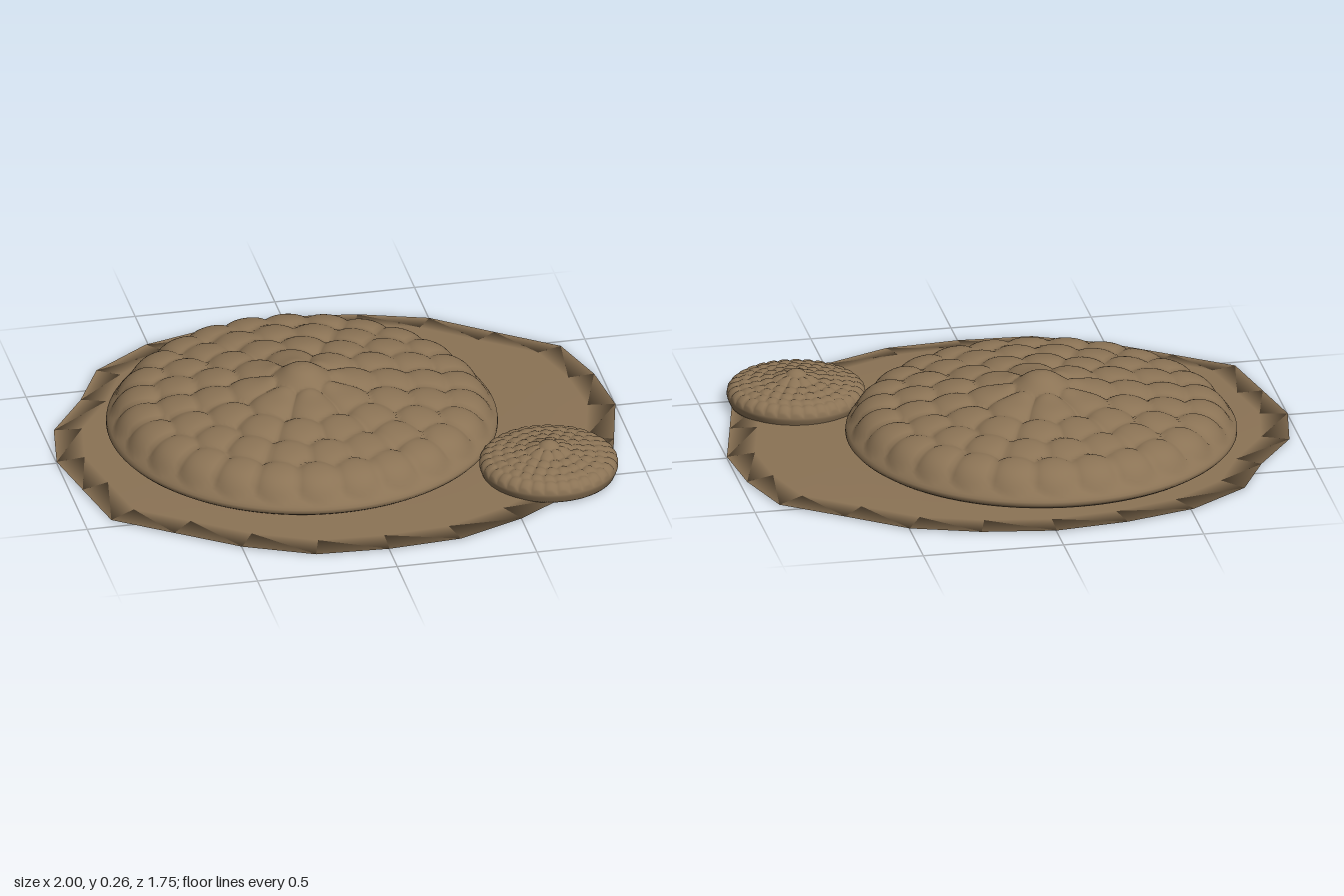
import * as THREE from 'three';
import { mergeVertices } from 'three/addons/utils/BufferGeometryUtils.js';

// Smooth closed skin over a stack of rings, listed from the bottom centre to the top centre.
function skin(rows, cols, point) {
  const pos = [], idx = [];
  for (let i = 0; i < rows; i++) {
    for (let j = 0; j < cols; j++) {
      pos.push(...point(i, j));
      if (i === rows - 1) continue;
      const k = (j + 1) % cols;
      const a = i * cols + j, b = i * cols + k, c = b + cols, d = a + cols;
      idx.push(a, d, c, a, c, b);
    }
  }
  let geo = new THREE.BufferGeometry();
  geo.setAttribute('position', new THREE.Float32BufferAttribute(pos, 3));
  geo.setIndex(idx);
  geo = mergeVertices(geo, 1e-5);
  geo.computeVertexNormals();
  return geo;
}

// Lumpy mound: a revolved profile raised by rings of rounded knobs.
function mound({ profile, rings, reach, height, cols, rows }) {
  const curve = new THREE.SplineCurve(profile.map(([r, y]) => new THREE.Vector2(r, y)));
  const pts = [new THREE.Vector2(0, profile[0][1]), ...curve.getSpacedPoints(rows)];
  pts[pts.length - 1].x = 0;
  const lift = (r, t) => {
    let best = 0;
    for (const [ringR, n] of rings) {
      if (Math.abs(r - ringR) > reach) continue;
      // distance to the nearest knob of this ring
      const step = (2 * Math.PI) / n;
      const dt = t - Math.round(t / step) * step;
      const d2 = r * r + ringR * ringR - 2 * r * ringR * Math.cos(dt);
      best = Math.max(best, 1 - d2 / (reach * reach));
    }
    return height * best * (1.6 - 0.6 * best);
  };
  const widest = pts.reduce((m, p, i) => (p.x > pts[m].x ? i : m), 0);
  return skin(pts.length, cols, (i, j) => {
    const { x: r, y } = pts[i];
    const t = (j / cols) * 2 * Math.PI;
    return [r * Math.cos(t), y + (i > widest ? lift(r, t) : 0), r * Math.sin(t)];
  });
}

export function createModel() {
  const model = new THREE.Group();
  const brown = new THREE.MeshStandardMaterial({ color: 0x8b7355 });
  brown.name = 'earthBrown';
  const add = (name, geo, x = 0, z = 0) => {
    const mesh = new THREE.Mesh(geo, brown);
    mesh.name = name;
    mesh.position.set(x, 0, z);
    model.add(mesh);
  };

  // Thin irregular slab with a sharp tapered rim
  const outline = [
    [0, -0.88], [0.26, -0.84], [0.5, -0.76], [0.7, -0.61], [0.905, -0.46], [0.975, -0.235],
    [1, 0], [0.94, 0.25], [0.89, 0.46], [0.67, 0.64], [0.5, 0.755], [0.26, 0.855],
    [0, 0.875], [-0.26, 0.86], [-0.5, 0.75], [-0.71, 0.6], [-0.905, 0.46], [-0.955, 0.22],
    [-1, 0], [-0.96, -0.23], [-0.82, -0.43], [-0.72, -0.63], [-0.51, -0.78], [-0.26, -0.85],
  ];
  const layers = [[0, 0], [0.6, 0], [0.88, 0], [1, 0.005], [0.9, 0.013], [0.6, 0.016], [0, 0.016]];
  add('baseSlab', skin(layers.length, outline.length, (i, j) => {
    const [s, y] = layers[i];
    return [outline[j][0] * s, y, outline[j][1] * s];
  }));

  // Large mound with a central peak
  add('largeMound', mound({
    profile: [[0.66, 0.018], [0.686, 0.04], [0.665, 0.07], [0.62, 0.098], [0.55, 0.117],
      [0.4, 0.14], [0.24, 0.163], [0.15, 0.18], [0.09, 0.22], [0.045, 0.25], [0, 0.26]],
    rings: [[0.19, 8], [0.32, 14], [0.45, 20], [0.575, 26]],
    reach: 0.095, height: 0.036, cols: 208, rows: 72,
  }), -0.11, -0.055);

  // Small mound at the front left edge
  add('smallMound', mound({
    profile: [[0.232, 0.008], [0.243, 0.04], [0.23, 0.055], [0.2, 0.067], [0.14, 0.078],
      [0.08, 0.088], [0.05, 0.1], [0.025, 0.122], [0, 0.13]],
    rings: [[0.065, 10], [0.105, 16], [0.145, 22], [0.185, 28], [0.22, 32]],
    reach: 0.029, height: 0.015, cols: 192, rows: 60,
  }), 0.665, 0.44);

  return model;
}
